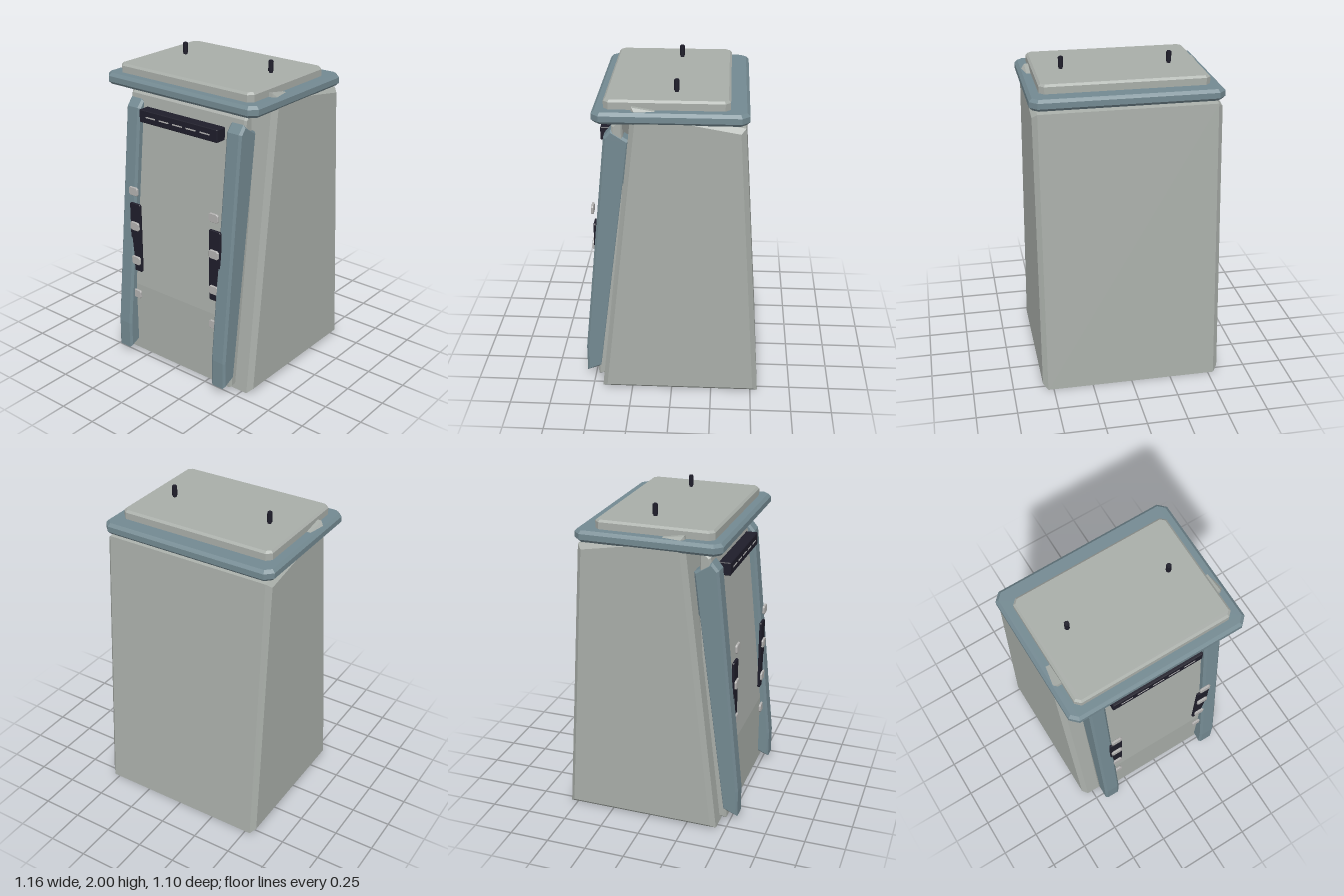
import * as THREE from 'three';

const material = (name, color) => {
  const m = new THREE.MeshStandardMaterial({ color });
  m.name = name;
  return m;
};

export function createModel() {
  const group = new THREE.Group();
  const shell = material('shell grey', 0xa8ada8);
  const trim = material('blue grey trim', 0x738991);
  const dark = material('dark navy', 0x1e1d2a);
  const metal = material('pale metal', 0xb2b1b0);

  const add = (name, geometry, mat, x = 0, y = 0, z = 0) => {
    const mesh = new THREE.Mesh(geometry, mat);
    mesh.name = name;
    mesh.position.set(x, y, z);
    group.add(mesh);
    return mesh;
  };

  // Chamfered extrusion whose outer size equals the outline and depth
  const bevelled = (points, depth, bevel) => {
    const shape = new THREE.Shape(points.map(([a, b]) => new THREE.Vector2(a, b)));
    const geo = new THREE.ExtrudeGeometry(shape, {
      depth: depth - 2 * bevel, bevelEnabled: true, bevelSegments: 1,
      bevelThickness: bevel, bevelSize: bevel, bevelOffset: -bevel,
    });
    return geo.translate(0, 0, bevel - depth / 2);
  };

  // Side profile given as [z, y], extruded along x
  const sideProfile = (points, width, bevel) =>
    bevelled(points, width, bevel).rotateY(-Math.PI / 2);

  // Rectangle with cut corners
  const cutRect = (w, h, c) => {
    const x = w / 2, y = h / 2;
    return [[-x + c, -y], [x - c, -y], [x, -y + c], [x, y - c],
      [x - c, y], [-x + c, y], [-x, y - c], [-x, -y + c]];
  };
  const slab = (w, d, h, cut, bevel) =>
    bevelled(cutRect(w, d, cut), h, bevel).rotateX(-Math.PI / 2);

  // Tapered cabinet with a sloping top
  add('cabinet', sideProfile(
    [[0.44, 0], [0.225, 1.893], [-0.425, 1.78], [-0.545, 0]], 1.13, 0.03), shell);

  // Front panel, upright at the foot and leaning back above
  add('frontPanel', sideProfile(
    [[0.478, 0.02], [0.48, 0.5], [0.352, 1.745], [0.29, 1.79], [0.28, 1.4], [0.38, 0.03]],
    0.888, 0.012), shell);

  // Roof and its raised cover
  add('roof', slab(1.156, 0.9, 0.07, 0.045, 0.018), trim, 0, 1.835, 0.005);
  add('roofCover', slab(1.02, 0.725, 0.075, 0.03, 0.013), shell, 0, 1.8875, 0.0275);

  // Pair of antennas
  for (const x of [-0.325, 0.34]) {
    add('antenna', new THREE.CylinderGeometry(0.012, 0.012, 0.1, 8), dark, x, 1.95, -0.022);
    add('antennaTip', new THREE.CylinderGeometry(0.016, 0.016, 0.06, 8), dark, x, 1.965, -0.022);
  }

  // Rails, dark side strips and latch tabs on both sides
  const rail = sideProfile(
    [[0.55, 0.045], [0.55, 0.225], [0.402, 1.67], [0.36, 1.72], [0.25, 1.65], [0.28, 1.4], [0.45, 0.085]],
    0.108, 0.014);
  const tab = bevelled(cutRect(0.072, 0.056, 0.01), 0.015, 0.003);
  const strip = bevelled(cutRect(0.088, 0.47, 0.008), 0.016, 0.003);
  for (const s of [-1, 1]) {
    add('rail', rail, trim, s * 0.393, 0, 0);
    add('sideStrip', strip, dark, s * 0.322, 0.835, 0.48);
    for (let i = 0; i < 4; i++) {
      add('latchTab', tab, metal, s * 0.322, 1.157 - i * 0.24, 0.493);
    }
  }

  // Display bar with a dashed line
  add('displayBar', bevelled(cutRect(0.61, 0.08, 0.005), 0.075, 0.004), dark, -0.003, 1.64, 0.397);
  for (let i = -2; i <= 2; i++) {
    add('displayDash', new THREE.BoxGeometry(0.075, 0.008, 0.006), metal, -0.003 + i * 0.106, 1.64, 0.434);
  }
  return group;
}
